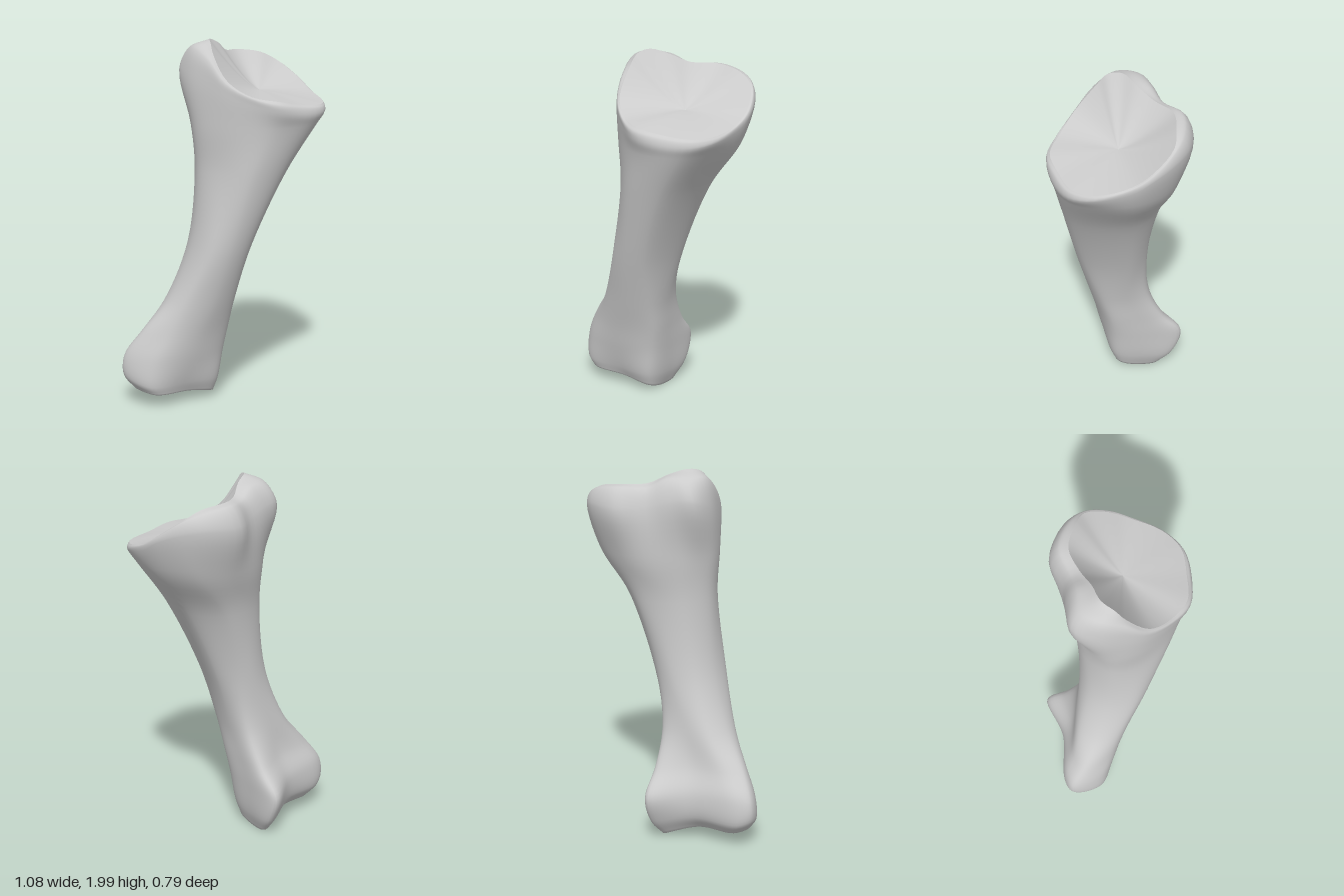
import * as THREE from 'three';

const AROUND = 64;

// Cross-sections of the bone, low to high. Each has eight [x, y, z] points:
// left, front left, front, front right, right, back right, back, back left.
const ring = (y, xz) => xz.map(([x, z]) => [x, y, z]);

const lowerEnd = [
  [[-0.49, 0.1, -0.15], [-0.43, 0.08, -0.03], [-0.22, 0.07, -0.02], [-0.06, 0.04, -0.03],
    [-0.03, 0.004, -0.17], [-0.03, 0.015, -0.27], [-0.22, 0.075, -0.21], [-0.43, 0.08, -0.2]],
  [[-0.535, 0.17, -0.19], [-0.46, 0.13, -0.025], [-0.24, 0.13, 0.005], [-0.045, 0.12, -0.005],
    [0.005, 0.1, -0.18], [0.005, 0.11, -0.345], [-0.22, 0.15, -0.265], [-0.47, 0.15, -0.245]],
  [[-0.53, 0.28, -0.19], [-0.44, 0.27, -0.015], [-0.22, 0.27, 0.045], [-0.02, 0.28, 0.01],
    [0.025, 0.27, -0.17], [0.01, 0.26, -0.39], [-0.2, 0.28, -0.28], [-0.46, 0.29, -0.245]],
  [[-0.45, 0.42, -0.13], [-0.36, 0.42, 0.02], [-0.19, 0.42, 0.08], [0, 0.42, 0.035],
    [0.035, 0.42, -0.12], [0.01, 0.4, -0.28], [-0.18, 0.42, -0.225], [-0.38, 0.42, -0.2]],
];

const shaft = [
  ring(0.6, [[-0.32, -0.06], [-0.285, 0.065], [-0.14, 0.13], [0.01, 0.09],
    [0.055, -0.06], [0.025, -0.18], [-0.13, -0.2], [-0.26, -0.17]]),
  ring(0.9, [[-0.21, -0.01], [-0.185, 0.145], [-0.08, 0.21], [0.05, 0.185],
    [0.14, -0.05], [0.075, -0.15], [-0.03, -0.18], [-0.15, -0.13]]),
  ring(1.3, [[-0.17, 0], [-0.12, 0.165], [0, 0.295], [0.2, 0.285],
    [0.315, -0.01], [0.2, -0.18], [0.06, -0.2], [-0.09, -0.14]]),
];

// The upper end has sixteen points per section, every second one matching above
const shoulder = ring(1.55, [[-0.185, -0.02], [-0.12, 0.185], [0.09, 0.36], [0.36, 0.335],
  [0.49, 0.04], [0.4, -0.19], [0.2, -0.27], [-0.085, -0.17]]);

const flare = [[-0.2, 1.8, -0.06], [-0.17, 1.78, 0.08], [-0.125, 1.72, 0.19], [-0.03, 1.67, 0.3],
  [0.09, 1.63, 0.385], [0.25, 1.61, 0.39], [0.4, 1.61, 0.345], [0.49, 1.63, 0.24],
  [0.535, 1.67, 0.06], [0.54, 1.73, -0.05], [0.495, 1.78, -0.18], [0.4, 1.8, -0.28],
  [0.22, 1.79, -0.33], [0.08, 1.8, -0.25], [-0.05, 1.83, -0.225], [-0.165, 1.84, -0.19]];

const crown = [[-0.165, 1.95, -0.05], [-0.15, 1.89, 0.08], [-0.12, 1.78, 0.19], [-0.03, 1.71, 0.3],
  [0.09, 1.67, 0.385], [0.25, 1.65, 0.38], [0.4, 1.64, 0.34], [0.495, 1.65, 0.23],
  [0.535, 1.7, 0.06], [0.535, 1.76, -0.05], [0.485, 1.84, -0.17], [0.4, 1.88, -0.245],
  [0.24, 1.905, -0.285], [0.1, 1.9, -0.215], [0, 1.95, -0.18], [-0.12, 1.95, -0.155]];

// Edge of the hollow joint face
const rim = [[-0.1, 1.98, 0.02], [-0.115, 1.92, 0.07], [-0.105, 1.79, 0.19], [-0.02, 1.715, 0.29],
  [0.1, 1.69, 0.37], [0.25, 1.665, 0.36], [0.4, 1.655, 0.325], [0.49, 1.665, 0.22],
  [0.525, 1.71, 0.05], [0.52, 1.775, -0.06], [0.465, 1.855, -0.17], [0.38, 1.9, -0.205],
  [0.24, 1.92, -0.23], [0.12, 1.925, -0.165], [0.03, 1.97, -0.1], [-0.06, 1.998, -0.05]];

// Smooth closed outline through the points of a section
function outline(points) {
  const curve = new THREE.CatmullRomCurve3(points.map((p) => new THREE.Vector3(...p)), true);
  return Array.from({ length: AROUND }, (_, j) => curve.getPoint(j / AROUND));
}

// Closed skin over rows of points
function skin(rows, name, material) {
  const positions = rows.flat().flatMap((p) => [p.x, p.y, p.z]);
  const index = [];
  for (let i = 0; i < rows.length - 1; i++) {
    for (let j = 0; j < AROUND; j++) {
      const a = i * AROUND + j;
      const b = i * AROUND + (j + 1) % AROUND;
      index.push(a, b, a + AROUND, b, b + AROUND, a + AROUND);
    }
  }
  const geometry = new THREE.BufferGeometry();
  geometry.setAttribute('position', new THREE.Float32BufferAttribute(positions, 3));
  geometry.setIndex(index);
  geometry.computeVertexNormals();
  const mesh = new THREE.Mesh(geometry, material);
  mesh.name = name;
  return mesh;
}

// Rows running from an outline to a centre point; power sets how hollow it is
function closing(edge, centre, power, steps) {
  return Array.from({ length: steps + 1 }, (_, i) => {
    const t = Math.max(1 - i / steps, 0.002);
    return edge.map((p) => new THREE.Vector3(
      centre.x + (p.x - centre.x) * t,
      centre.y + (p.y - centre.y) * t ** power,
      centre.z + (p.z - centre.z) * t,
    ));
  });
}

export function createModel() {
  const group = new THREE.Group();
  group.name = 'bone';
  const material = new THREE.MeshStandardMaterial({ color: 0xcccccc, roughness: 0.8 });

  // Shaft with both flared ends, splined lengthwise through the sections
  const sections = [...lowerEnd, ...shaft, shoulder, flare, crown, rim].map(outline);
  const columns = sections[0].map((_, j) => new THREE.CatmullRomCurve3(sections.map((s) => s[j])));
  const steps = (sections.length - 1) * 6;
  const rows = Array.from({ length: steps + 1 }, (_, i) => columns.map((c) => c.getPoint(i / steps)));

  // Underside of the lower joint, joined smoothly to the shaft
  const under = closing(sections[0], new THREE.Vector3(-0.22, 0.06, -0.13), 1.2, 6).reverse();
  group.add(skin([...under.slice(0, -1), ...rows], 'shaftAndLowerJoint', material));

  // Hollow upper joint face, separate so its front rim stays sharp
  const dish = closing(rows[steps], new THREE.Vector3(0.2, 1.72, 0.04), 1.35, 12);
  group.add(skin(dish, 'upperJointFace', material));
  return group;
}
